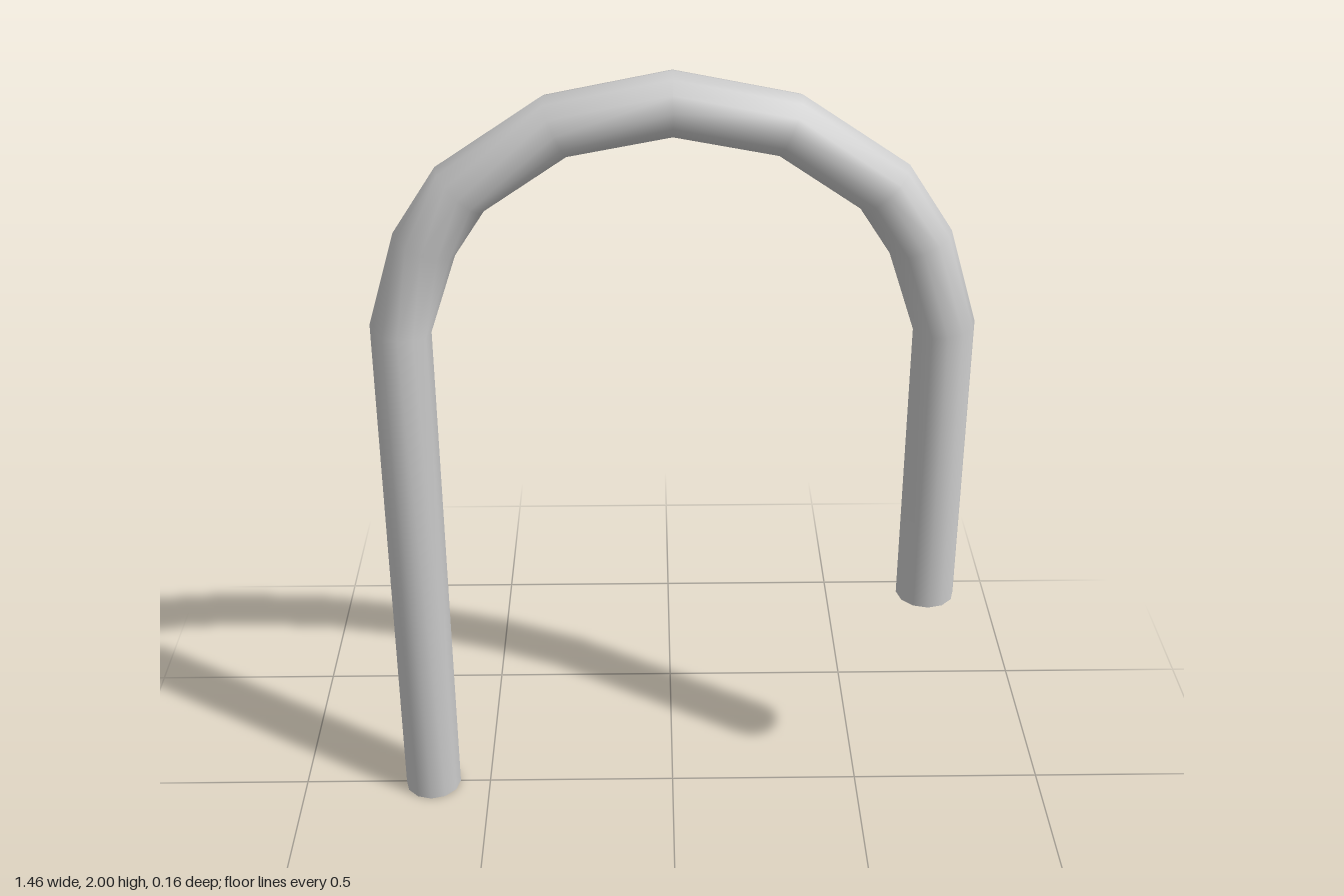
import * as THREE from 'three';

const SIDES = 12;
const HALF_DEPTH = 0.078;

// Half of the bend, leg to crown: outer x, outer y, inner x, inner y
const BEND = [
  [0.729, 1.375, 0.581, 1.355],
  [0.658, 1.61, 0.514, 1.553],
  [0.55, 1.773, 0.44, 1.665],
  [0.298, 1.941, 0.24, 1.8],
  [0, 2, 0, 1.845],
];

// Skins a closed ring of vertices around each mitred section of the pipe
function pipeGeometry(sections) {
  const positions = [];
  const indices = [];
  sections.forEach(([ox, oy, ix, iy], s) => {
    const cx = (ox + ix) / 2, cy = (oy + iy) / 2;
    const rx = (ox - ix) / 2, ry = (oy - iy) / 2;
    for (let i = 0; i < SIDES; i++) {
      const a = (i / SIDES) * Math.PI * 2;
      const c = Math.cos(a);
      positions.push(cx + rx * c, cy + ry * c, HALF_DEPTH * Math.sin(a));
      if (s === 0) continue;
      const j = (i + 1) % SIDES;
      const p = (s - 1) * SIDES, q = s * SIDES;
      indices.push(p + i, q + i, p + j, p + j, q + i, q + j);
    }
  });
  const geometry = new THREE.BufferGeometry();
  geometry.setAttribute('position', new THREE.Float32BufferAttribute(positions, 3));
  geometry.setIndex(indices);
  geometry.computeVertexNormals();
  return geometry;
}

export function createModel() {
  const group = new THREE.Group();
  group.name = 'bentPipe';

  // Long leg at -x, arch over the crown, short leg at +x
  const leg = (side, y) => [side * 0.729, y, side * 0.581, y];
  const sections = [
    leg(-1, 0),
    ...BEND.map(([ox, oy, ix, iy]) => [-ox, oy, -ix, iy]),
    ...BEND.slice(0, -1).reverse(),
    leg(1, 0.603),
  ];

  // Hollow pipe with open ends
  const material = new THREE.MeshStandardMaterial({ color: 0xcccccc, side: THREE.DoubleSide });
  const pipe = new THREE.Mesh(pipeGeometry(sections), material);
  pipe.name = 'pipe';
  group.add(pipe);
  return group;
}
